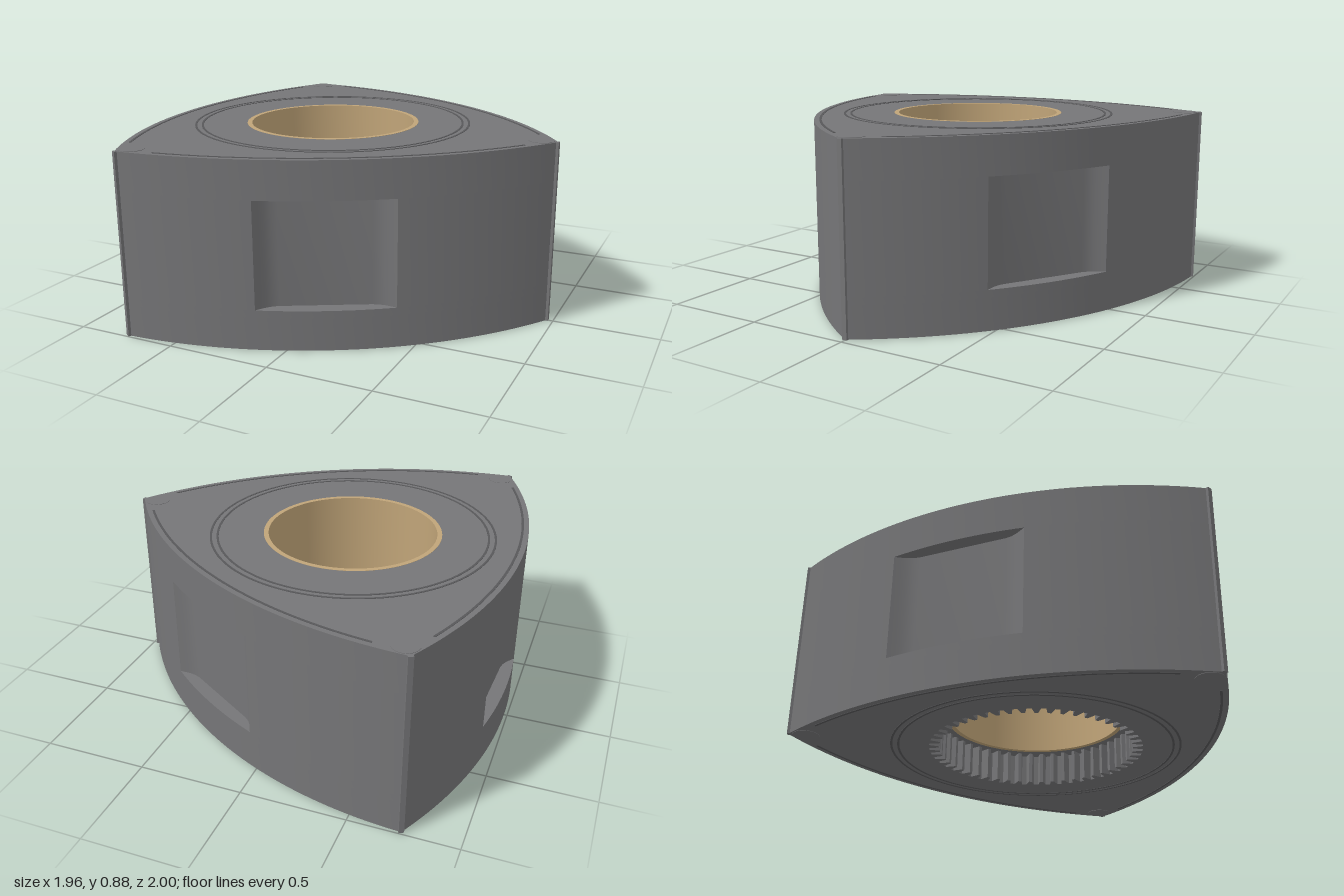
import * as THREE from 'three';
import { toCreasedNormals } from 'three/addons/utils/BufferGeometryUtils.js';

const HEIGHT = 0.875, CENTRE_X = -0.17;
const APEX = 1.143, FLANK = 0.815;           // distance from axis to apex and to mid flank
const POCKET_LOW = 0.19, POCKET_HIGH = 0.695;
const GEAR_H = 0.155, BORE = 0.428, GEAR_ROOT = 0.508, GEAR_TIP = 0.458, TEETH = 51;
const DEG = Math.PI / 180;

// Flank arc derived from chord and bulge
const halfChord = APEX * Math.sin(60 * DEG);
const bulge = FLANK - APEX / 2;
const ARC_R = (halfChord ** 2 + bulge ** 2) / (2 * bulge);
const HALF_ANGLE = Math.asin(halfChord / ARC_R);
const POCKET_A = -6.2 * DEG, POCKET_B = 10.75 * DEG;

const polar = (r, a) => new THREE.Vector2(r * Math.cos(a), r * Math.sin(a));

// Point on a flank whose middle faces angle "facing"
function flankPoint(facing, a, r = ARC_R) {
  return polar(FLANK - ARC_R, facing).add(polar(r, facing + a));
}

// Three-flank outline, optionally with the hollow pockets
function outline(withPocket) {
  const pts = [];
  for (let k = 0; k < 3; k++) {
    const facing = (60 + 120 * k) * DEG;
    const run = (from, to, n) => {
      for (let i = 0; i < n; i++) pts.push(flankPoint(facing, from + (to - from) * i / n));
    };
    run(-HALF_ANGLE, POCKET_A, 16);
    if (withPocket) {
      const p = flankPoint(facing, POCKET_A), q = flankPoint(facing, POCKET_B);
      const inward = polar(-1, facing + (POCKET_A + POCKET_B) / 2);
      for (const t of [0, 0.04, 0.08, 0.12, 0.17, 0.83, 0.88, 0.92, 0.96]) {
        const ramp = Math.min(1, Math.min(t, 1 - t) / 0.17);
        const depth = 0.045 * Math.sin(ramp * Math.PI / 2);
        pts.push(p.clone().lerp(q, t).addScaledVector(inward, depth));
      }
    } else run(POCKET_A, POCKET_B, 14);
    run(POCKET_B, HALF_ANGLE, 14);
  }
  return pts;
}

const circle = (r, n = 96) =>
  Array.from({ length: n }, (_, i) => polar(r, i / n * Math.PI * 2));

// Upright prism between two heights; plan coordinates are (x, z)
function prism(points, hole, y0, y1, crease = 0.4) {
  const shape = new THREE.Shape(points);
  if (hole) shape.holes.push(new THREE.Path(hole));
  const g = new THREE.ExtrudeGeometry(shape, { depth: y1 - y0, bevelEnabled: false });
  g.rotateX(Math.PI / 2).translate(0, y1, 0);
  return toCreasedNormals(g, crease);
}

export function createModel() {
  const steel = new THREE.MeshStandardMaterial({ color: 0x757577 });
  steel.name = 'steel grey';
  const seal = new THREE.MeshStandardMaterial({ color: 0x58585a });
  seal.name = 'dark seal grey';
  const bronze = new THREE.MeshStandardMaterial({ color: 0xc0a478 });
  bronze.name = 'bearing bronze';

  const model = new THREE.Group();
  model.name = 'rotor';
  const add = (name, geometry, material) => {
    const mesh = new THREE.Mesh(geometry, material);
    mesh.name = name;
    mesh.position.x = CENTRE_X;
    model.add(mesh);
    return mesh;
  };

  // Body in layers, so that the pockets and the gear recess are open
  const full = outline(false), hollow = outline(true);
  add('bodyGearLayer', prism(full, circle(GEAR_ROOT + 0.003), 0, GEAR_H), steel);
  add('bodyLowerLayer', prism(full, circle(BORE), GEAR_H, POCKET_LOW), steel);
  add('bodyPocketLayer', prism(hollow, circle(BORE), POCKET_LOW, POCKET_HIGH), steel);
  add('bodyUpperLayer', prism(full, circle(BORE), POCKET_HIGH, HEIGHT), steel);

  // Bearing sleeve in the bore
  add('bearingSleeve', prism(circle(BORE), circle(0.405), GEAR_H - 0.002, HEIGHT + 0.001), bronze);

  // Internal ring gear in the underside
  const teeth = [];
  for (let i = 0; i < TEETH; i++) {
    for (const [f, r] of [[0, GEAR_ROOT - 0.003], [0.36, GEAR_ROOT - 0.003], [0.54, GEAR_TIP], [0.82, GEAR_TIP]]) {
      teeth.push(polar(r, (i + f) / TEETH * Math.PI * 2));
    }
  }
  add('ringGear', prism(circle(GEAR_ROOT + 0.003), teeth, 0, GEAR_H, 0.2), steel);

  // Seals on the top and bottom faces
  const LIFT = 0.002;
  for (const [side, y0, y1] of [['top', HEIGHT - 0.004, HEIGHT + LIFT], ['bottom', -LIFT, 0.004]]) {
    for (const r of [0.68, 0.648]) {
      add(side + 'OilSeal', prism(circle(r + 0.005), circle(r - 0.005), y0, y1), seal);
    }
    for (let k = 0; k < 3; k++) {
      const facing = (60 + 120 * k) * DEG;
      const outer = [], inner = [];
      for (let i = 0; i <= 32; i++) {
        const a = (-23 + 46 * i / 32) * DEG;
        outer.push(flankPoint(facing, a, ARC_R - 0.025));
        inner.unshift(flankPoint(facing, a, ARC_R - 0.036));
      }
      add(side + 'SideSeal', prism([...outer, ...inner], null, y0, y1), seal);

      const spot = polar(1.065, k * 120 * DEG);
      const button = circle(0.06, 40).map(p => p.add(spot));
      add(side + 'CornerButton', prism(button, null, y0, y1), steel);
    }
  }

  // Apex seals standing slightly proud of the three corners
  for (let k = 0; k < 3; k++) {
    const a = k * 120 * DEG, p = polar(1.128, a);
    const blade = add('apexSeal', new THREE.BoxGeometry(0.04, HEIGHT, 0.024), steel);
    blade.position.set(CENTRE_X + p.x, HEIGHT / 2, p.y);
    blade.rotation.y = -a;
  }
  model.position.y = LIFT;
  const root = new THREE.Group();
  root.name = 'rotaryPiston';
  root.add(model);
  return root;
}
